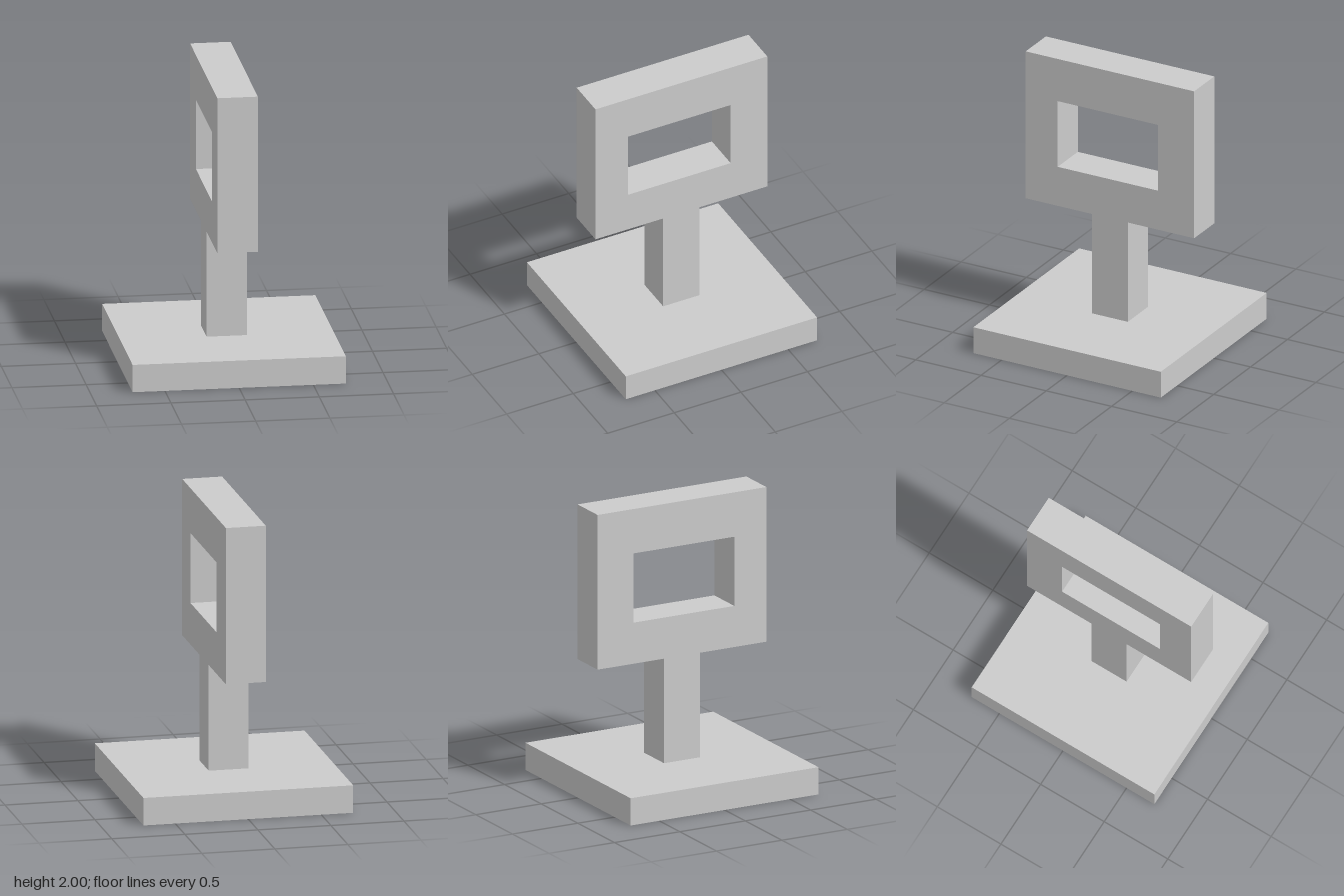
import * as THREE from 'three';

const BASE = { size: 1.436, height: 0.19 };
const THICKNESS = 0.273;
const POST_HALF = 0.137;
const HEAD = { half: 0.645, bottom: 0.92, top: 2 };
const WINDOW = { back: -0.37, front: 0.4, bottom: 1.207, top: 1.69 };

const points = (list) => list.map(([z, y]) => new THREE.Vector2(z, y));

export function createModel() {
  const model = new THREE.Group();
  model.name = 'signStand';
  const material = new THREE.MeshStandardMaterial({ color: 0xcccccc, flatShading: true });

  // Square base slab
  const base = new THREE.Mesh(new THREE.BoxGeometry(BASE.size, BASE.height, BASE.size), material);
  base.name = 'base';
  base.position.y = BASE.height / 2;
  model.add(base);

  // Post and frame share one side outline (z, y)
  const outline = new THREE.Shape(points([
    [-POST_HALF, BASE.height], [POST_HALF, BASE.height],
    [POST_HALF, HEAD.bottom], [HEAD.half, HEAD.bottom],
    [HEAD.half, HEAD.top], [-HEAD.half, HEAD.top],
    [-HEAD.half, HEAD.bottom], [-POST_HALF, HEAD.bottom],
  ]));

  // Rectangular window through the frame
  outline.holes.push(new THREE.Path(points([
    [WINDOW.back, WINDOW.bottom], [WINDOW.back, WINDOW.top],
    [WINDOW.front, WINDOW.top], [WINDOW.front, WINDOW.bottom],
  ])));

  // Turn the outline so that it faces sideways, centred on x = 0
  const geometry = new THREE.ExtrudeGeometry(outline, { depth: THICKNESS, bevelEnabled: false });
  geometry.translate(0, 0, -THICKNESS / 2);
  geometry.rotateY(-Math.PI / 2);
  const frame = new THREE.Mesh(geometry, material);
  frame.name = 'postAndFrame';
  model.add(frame);

  return model;
}
